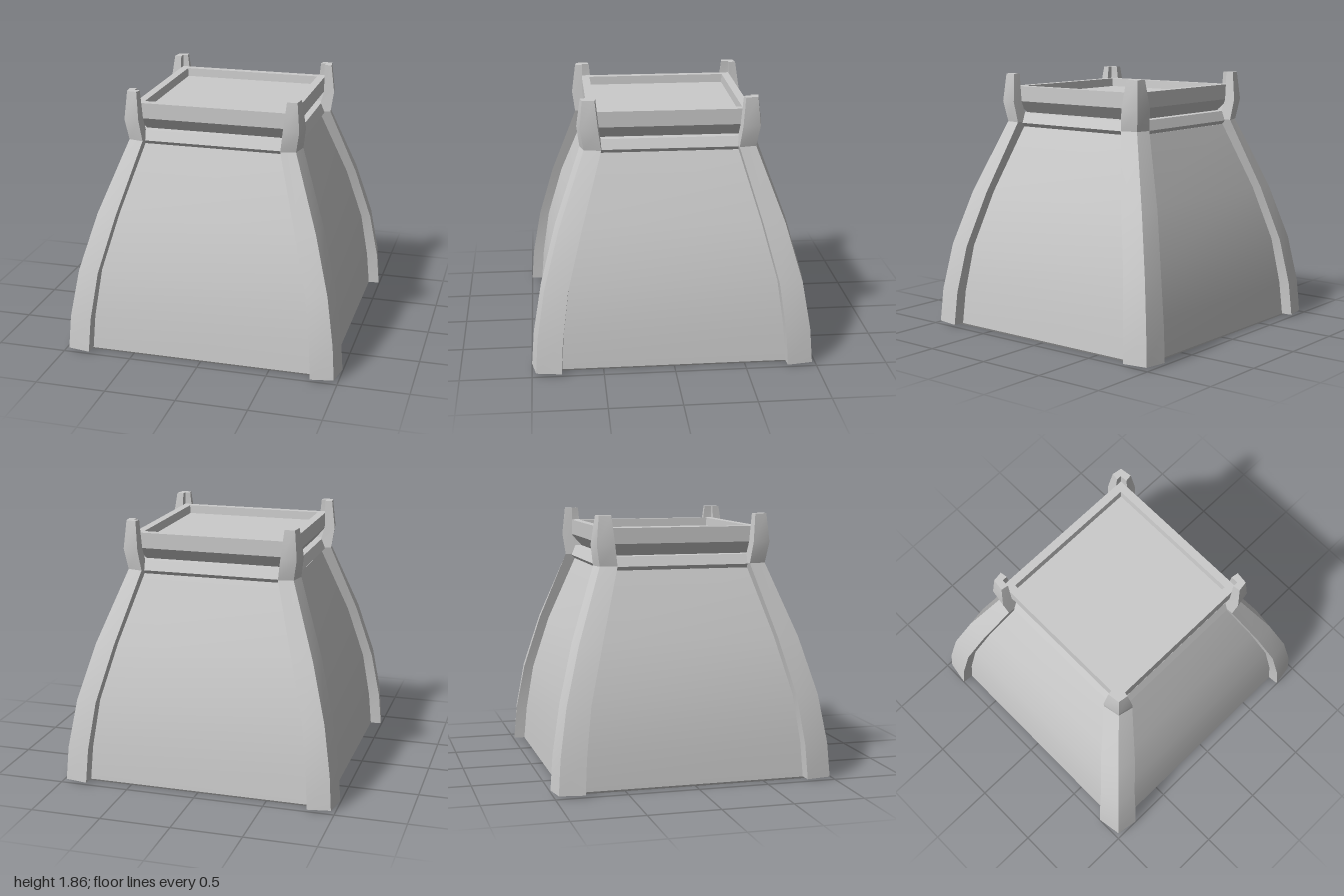
import * as THREE from 'three';
import { toCreasedNormals } from 'three/addons/utils/BufferGeometryUtils.js';

const material = new THREE.MeshStandardMaterial({ color: 0xcccccc });

// Joins horizontal outlines [[x, z], ...] at the given heights and caps both ends.
function loft(name, rings, heights) {
  const flip = THREE.ShapeUtils.area(rings[0].map(([x, y]) => ({ x, y }))) > 0;
  const outlines = flip ? rings.map((r) => [...r].reverse()) : rings;
  const n = outlines[0].length;
  const out = [];
  const put = (j, k) => out.push(outlines[j][k % n][0], heights[j], outlines[j][k % n][1]);
  for (let j = 0; j < outlines.length - 1; j++) {
    for (let k = 0; k < n; k++) {
      put(j, k); put(j, k + 1); put(j + 1, k + 1);
      put(j, k); put(j + 1, k + 1); put(j + 1, k);
    }
  }
  for (const [j, up] of [[0, false], [outlines.length - 1, true]]) {
    const pts = outlines[j].map(([x, z]) => new THREE.Vector2(x, z));
    for (const [a, b, c] of THREE.ShapeUtils.triangulateShape(pts, [])) {
      const facesUp = THREE.ShapeUtils.area([pts[a], pts[b], pts[c]]) < 0;
      const order = facesUp === up ? [a, b, c] : [a, c, b];
      order.forEach((k) => put(j, k));
    }
  }
  const geometry = new THREE.BufferGeometry();
  geometry.setAttribute('position', new THREE.Float32BufferAttribute(out, 3));
  const mesh = new THREE.Mesh(toCreasedNormals(geometry, 0.4), material);
  mesh.name = name;
  return mesh;
}

// Square stack from [halfWidth, height] pairs.
function squareStack(name, profile) {
  const rings = profile.map(([h]) => [[h, h], [h, -h], [-h, -h], [-h, h]]);
  return loft(name, rings, profile.map((p) => p[1]));
}

// Angled corner piece; rows are [height, outer, ridge, edge, inner].
function cornerPiece(name, rows, sx, sz) {
  const rings = rows.map(([, outer, ridge, edge, inner]) => [
    [outer, edge - 0.015], [ridge, ridge], [edge, outer],
    [edge - 0.008, inner], [inner, inner], [inner, edge - 0.023],
  ].map(([x, z]) => [x * sx, z * sz]));
  return loft(name, rings, rows.map((r) => r[0]));
}

const postRows = [
  [0.015, 1.0, 0.972, 0.81, 0.89],
  [0.26, 0.98, 0.955, 0.795, 0.87],
  [0.6, 0.92, 0.9, 0.75, 0.82],
  [1.0, 0.81, 0.788, 0.645, 0.71],
  [1.51, 0.625, 0.6, 0.495, 0.53],
];

const hornRows = [
  [1.51, 0.625, 0.6, 0.495, 0.53],
  [1.66, 0.645, 0.625, 0.515, 0.57],
  [1.86, 0.617, 0.606, 0.535, 0.565],
];

export function createModel() {
  const model = new THREE.Group();

  // Flared body with a curved slope on each side
  model.add(squareStack('body', [
    [0.91, 0], [0.92, 0.015], [0.9, 0.26], [0.85, 0.6], [0.74, 1.0], [0.555, 1.475],
  ]));

  // Overhanging collar, undercut neck and recessed tray
  model.add(squareStack('collarAndTray', [
    [0.55, 1.473], [0.58, 1.503], [0.55, 1.572], [0.5, 1.575],
    [0.568, 1.66], [0.568, 1.77], [0.51, 1.77], [0.505, 1.71],
  ]));

  // Corner posts, each finished with a horn
  for (const sx of [1, -1]) {
    for (const sz of [1, -1]) {
      const corner = new THREE.Group();
      corner.name = `${sz > 0 ? 'front' : 'back'}${sx > 0 ? 'Left' : 'Right'}Corner`;
      corner.add(cornerPiece('post', postRows, sx, sz), cornerPiece('horn', hornRows, sx, sz));
      model.add(corner);
    }
  }
  return model;
}
